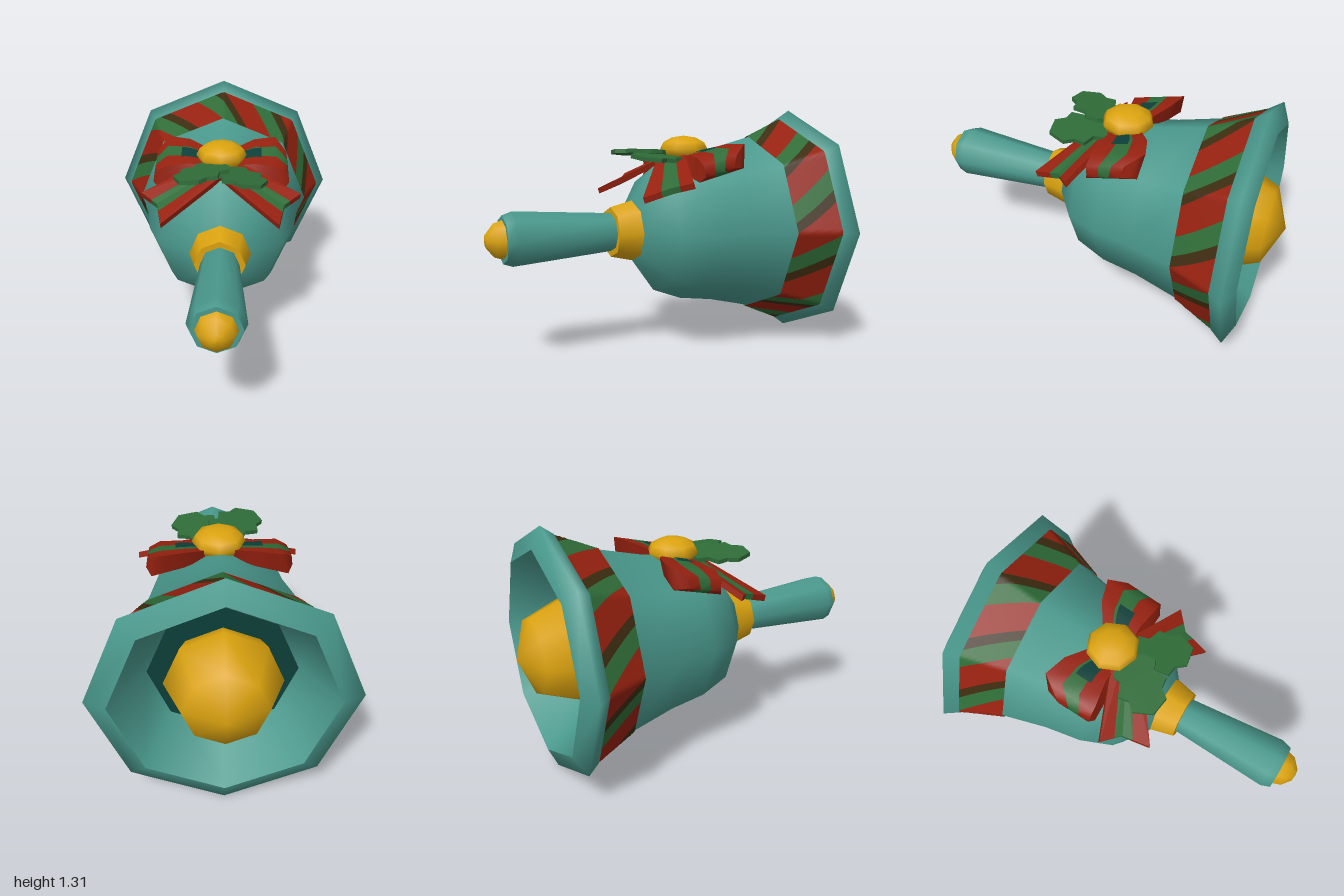
import * as THREE from 'three';
import { ConvexGeometry } from 'three/addons/geometries/ConvexGeometry.js';
import { ParametricGeometry } from 'three/addons/geometries/ParametricGeometry.js';

const AXIS_Y = 0.655;

function material(name, color) {
  const m = new THREE.MeshStandardMaterial({ color, side: THREE.DoubleSide });
  m.name = name;
  return m;
}

export function createModel() {
  const teal = material('teal', 0x4a998d);
  const darkTeal = material('dark teal', 0x0d3f39);
  const gold = material('gold', 0xdba30f);
  const red = material('red', 0x96210f);
  const green = material('green', 0x2f6c38);
  const brown = material('dark brown', 0x3d2c10);

  const model = new THREE.Group();
  model.name = 'handBell';

  const add = (name, geometry, mat, parent = model) => {
    const mesh = new THREE.Mesh(geometry, mat);
    mesh.name = name;
    parent.add(mesh);
    return mesh;
  };

  // Eight-sided turned part along z; profile is [radius, z] pairs
  const turned = (name, profile, mat) => {
    const g = new THREE.LatheGeometry(profile.map(([r, z]) => new THREE.Vector2(r, z)), 8);
    g.rotateX(Math.PI / 2);
    g.translate(0, AXIS_Y, 0);
    return add(name, g, mat);
  };

  // Curved sheet from a rule (u, v) -> [x, y, z]
  const sheet = (name, rule, nu, nv, mat, parent) => {
    const g = new ParametricGeometry((u, v, p) => p.set(...rule(u, v)), nu, nv);
    g.computeVertexNormals();
    return add(name, g, mat, parent);
  };

  // Bell body
  turned('bellShell', [[0.597, -0.77], [0.5, -0.54], [0.44, -0.3], [0.41, -0.1],
    [0.345, 0.07], [0.165, 0.2], [0, 0.21]], teal);
  turned('bellRim', [[0.545, -0.88], [0.655, -0.83], [0.605, -0.762], [0.59, -0.755]], teal);
  turned('bellInside', [[0.37, -0.62], [0.545, -0.88]], teal);
  turned('bellInsideFloor', [[0, -0.61], [0.37, -0.62]], darkTeal);

  // Clapper
  const clapper = new THREE.SphereGeometry(0.29, 8, 4);
  clapper.rotateX(Math.PI / 2);
  clapper.translate(0, AXIS_Y, -0.71);
  add('clapper', clapper, gold);

  // Handle
  turned('collarSide', [[0.165, 0.2], [0.135, 0.325]], gold);
  turned('collarFace', [[0.135, 0.325], [0, 0.325]], gold);
  turned('handle', [[0.103, 0.32], [0.142, 0.86], [0.125, 0.91]], teal);
  turned('handleEnd', [[0.125, 0.91], [0, 0.91]], teal);
  turned('handleTip', [[0.102, 0.905], [0.086, 0.955], [0.035, 0.995], [0, 1]], gold);

  // Slanted stripes painted on the band above the rim
  const band = new THREE.Group();
  band.name = 'stripedBand';
  model.add(band);
  const onBand = (side, v) => {
    const k = Math.floor(side), f = side - k;
    const r = THREE.MathUtils.lerp(0.606, 0.508, v);
    const a = k * Math.PI / 4, b = a + Math.PI / 4;
    return [
      r * THREE.MathUtils.lerp(Math.sin(a), Math.sin(b), f),
      AXIS_Y + r * THREE.MathUtils.lerp(Math.cos(a), Math.cos(b), f),
      THREE.MathUtils.lerp(-0.765, -0.54, v),
    ];
  };
  const count = 10;
  const stripes = [[0, 0.5, red], [0.5, 0.82, green], [0.82, 1, brown]];
  for (let i = 0; i < count; i++) {
    for (const [from, to, mat] of stripes) {
      sheet('bandStripe', (u, v) =>
        onBand((i + 0.02 + from + (to - from) * u) * 8 / count + 0.38 * v, v), 12, 8, mat, band);
    }
  }

  // Bow: a loop and a forked tail on each side
  const bow = new THREE.Group();
  bow.name = 'bow';
  model.add(bow);
  // Loop outline: x, y, back z, front z
  const loop = [[0.04, 1.075, -0.2, -0.06], [0.18, 1.09, -0.29, -0.06], [0.3, 1.085, -0.325, -0.04],
    [0.36, 1.05, -0.24, -0.04], [0.37, 0.99, -0.22, -0.05], [0.34, 0.965, -0.3, -0.03],
    [0.18, 1.0, -0.27, -0.03], [0.04, 1.03, -0.18, -0.04]];
  const onLoop = (s, u, t) => {
    const f = u * (loop.length - 1);
    const k = Math.min(Math.floor(f), loop.length - 2);
    const [x, y, back, front] = loop[k].map((c, j) => THREE.MathUtils.lerp(c, loop[k + 1][j], f - k));
    const z = THREE.MathUtils.lerp(back, front, t);
    return [s * x, y - 0.25 * (z + 0.16), z];
  };
  const start = [new THREE.Vector3(0.08, 1.075, -0.08), new THREE.Vector3(0, 1.035, 0.05)];
  const fork = [new THREE.Vector3(0.425, 0.94, 0.05), new THREE.Vector3(0.335, 0.91, 0.13),
    new THREE.Vector3(0.305, 0.865, 0.275)];
  const tailEnd = (t) => t < 0.5
    ? fork[0].clone().lerp(fork[1], t * 2)
    : fork[1].clone().lerp(fork[2], t * 2 - 1);

  for (const s of [1, -1]) {
    [red, green, red].forEach((mat, i) => {
      sheet('bowLoop', (u, v) => onLoop(s, u, (i + v) / 3), 14, 1, mat, bow);
    });
    // Closed front and back of the loop
    for (const t of [0, 1]) {
      sheet('bowLoopSide', (u, v) => {
        const a = onLoop(s, u / 2, t), b = onLoop(s, 1 - u / 2, t);
        return a.map((c, j) => THREE.MathUtils.lerp(c, b[j], v));
      }, 7, 1, red, bow);
    }
    // Dark fold beside the knot
    sheet('bowFold', (u, v) => {
      const p = onLoop(s, 0.06 + 0.13 * u, 0.4 + 0.35 * v);
      return [p[0], p[1] + 0.006, p[2]];
    }, 4, 1, darkTeal, bow);

    // Tail strips running lengthwise
    const cuts = [0, 0.32, 0.5, 0.68, 1];
    [red, green, green, red].forEach((mat, i) => {
      const points = [];
      for (const t of [cuts[i], cuts[i + 1]]) {
        for (const p of [start[0].clone().lerp(start[1], t), tailEnd(t)]) {
          p.x *= s;
          points.push(p, p.clone().add(new THREE.Vector3(0, -0.03, -0.01)));
        }
      }
      add('bowTail', new ConvexGeometry(points), mat, bow);
    });
  }

  // Round knot
  const knot = new THREE.SphereGeometry(1, 8, 6);
  knot.scale(0.137, 0.073, 0.137);
  knot.translate(0, 1.094, -0.12);
  add('bowKnot', knot, gold, bow);

  // Two spiky leaves in front of the knot
  const half = [[0.07, 0.02], [0.115, 0.07], [0.09, 0.12], [0.13, 0.18], [0.09, 0.22], [0.09, 0.28]];
  const outline = [[0, 0], ...half, [0, 0.33], ...half.map(([x, y]) => [-x, y]).reverse()];
  for (const s of [1, -1]) {
    const shape = new THREE.Shape(outline.map(([x, y]) => new THREE.Vector2(x, y)));
    const g = new THREE.ExtrudeGeometry(shape, { depth: 0.022, bevelEnabled: false });
    g.rotateX(Math.PI / 2);
    g.rotateZ(s * -0.12);
    g.rotateY(s * 0.68);
    g.translate(0, s > 0 ? 1.065 : 1.085, -0.025);
    add('leaf', g, green, bow);
  }

  return model;
}
